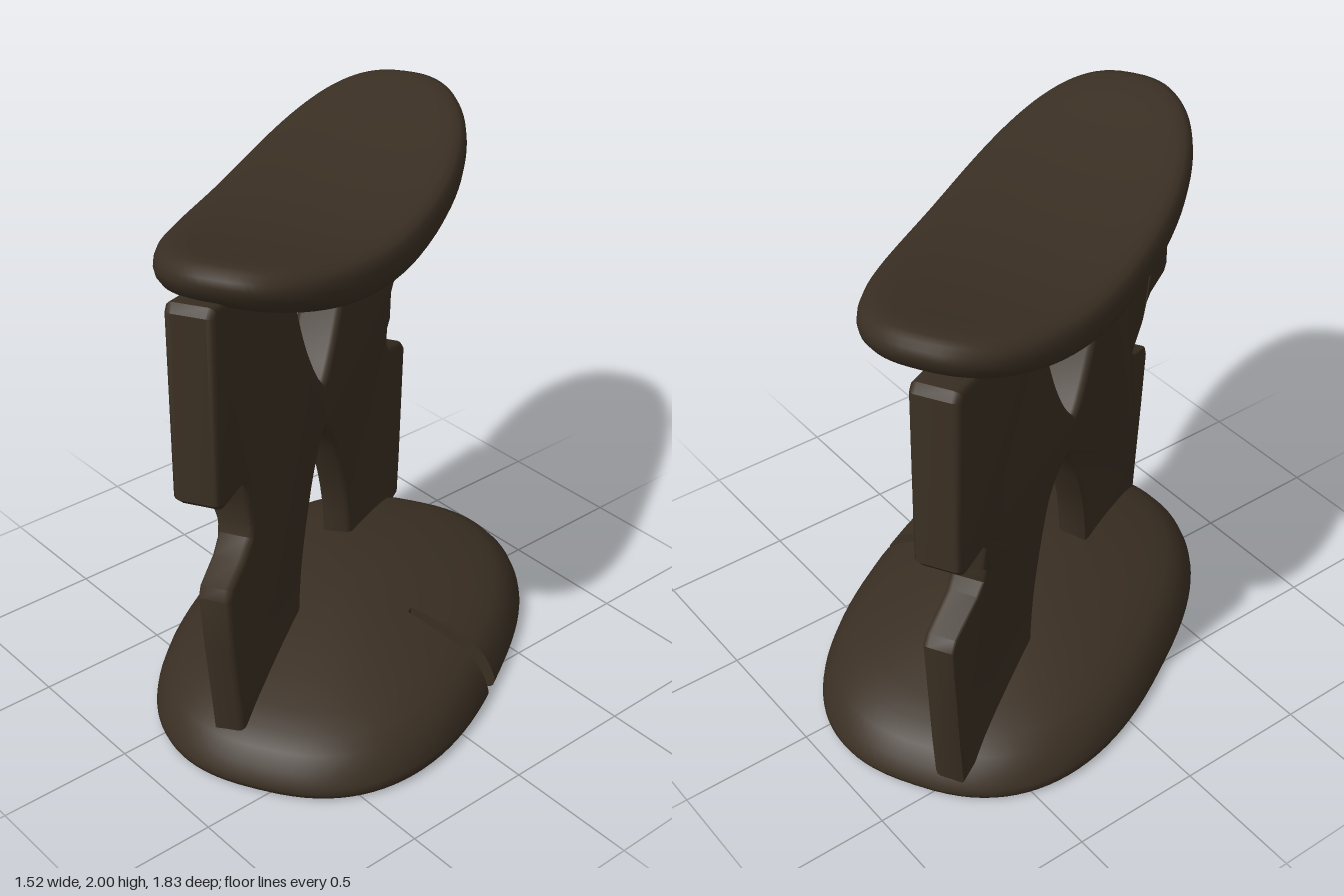
import * as THREE from 'three';
import { toCreasedNormals } from 'three/addons/utils/BufferGeometryUtils.js';

const darkWood = new THREE.MeshStandardMaterial({ color: 0x3a2f23 });
darkWood.name = 'darkWood';

// Point on a rounded oval with half axes a and b
function oval(a, b, t) {
  const f = (k) => Math.sign(k) * Math.abs(k) ** 0.8;
  return [a * f(Math.cos(t)), b * f(Math.sin(t))];
}

// Closed skin: columns run around the oval, the profile [r, y] runs top to bottom
function loft(columns, profile, place) {
  const pos = [], index = [], n = columns.length;
  for (const [r, y] of profile) for (const c of columns) pos.push(...place(c, r, y));
  for (let i = 0; i < profile.length - 1; i++) {
    for (let j = 0; j < n; j++) {
      const k = (j + 1) % n, p = i * n, q = p + n;
      index.push(p + j, p + k, q + j, p + k, q + k, q + j);
    }
  }
  const geo = new THREE.BufferGeometry();
  geo.setAttribute('position', new THREE.Float32BufferAttribute(pos, 3));
  geo.setIndex(index);
  return toCreasedNormals(geo, 0.7);
}

function ring(count) {
  return Array.from({ length: count }, (_, i) => ({ t: -Math.PI / 2 + (i / count) * Math.PI * 2, cut: false }));
}

// Domed foot with a crack cut through one long side
function baseGeometry() {
  const t1 = -Math.PI / 2 + 0.042, t2 = -Math.PI / 2 + 0.103;
  const columns = ring(96).filter(({ t }) => t < t1 - 0.005 || t > t2 + 0.005);
  columns.push({ t: t1, cut: false }, { t: t1 + 0.004, cut: true }, { t: t2 - 0.004, cut: true }, { t: t2, cut: false });
  columns.sort((p, q) => p.t - q.t);
  const profile = [[0, 0.342], [0.15, 0.336], [0.3, 0.318], [0.46, 0.288], [0.6, 0.257], [0.75, 0.219], [0.85, 0.185],
    [0.92, 0.147], [0.97, 0.095], [0.995, 0.05], [1, 0.03], [0.99, 0.01], [0.97, 0], [0.46, 0], [0, 0]];
  return loft(columns, profile, ({ t, cut }, r, y) => {
    const [x, z] = oval(0.92, 0.625, t);
    const k = cut ? Math.min(r, 0.46) : r;
    return [0.06 * (1 - k) + x * k, y, z * k];
  });
}

// Saddle-shaped seat, rising toward both ends
function seatGeometry() {
  const profile = [[0, -0.008], [0.2, -0.008], [0.4, -0.005], [0.6, -0.002], [0.78, 0], [0.88, -0.002], [0.94, -0.011],
    [0.975, -0.028], [0.994, -0.053], [1, -0.08], [0.99, -0.108], [0.96, -0.135], [0.91, -0.155], [0.83, -0.167],
    [0.6, -0.17], [0.4, -0.17], [0.2, -0.17], [0, -0.17]];
  return loft(ring(96), profile, ({ t }, r, y) => {
    const [x, z] = oval(0.945, 0.4, t);
    return [x * r, 1.87 + y + 0.183 * (x * r) ** 2, z * r];
  });
}

// Pointed opening, mirrored about the middle; [half width, y] from mouth to tip
function opening(side) {
  const curve = new THREE.SplineCurve(side.map(([x, y]) => new THREE.Vector2(x, y))).getPoints(14);
  const mirror = curve.slice(0, -1).reverse().map((p) => new THREE.Vector2(-p.x, p.y));
  return new THREE.Path([...curve, ...mirror]);
}

// Upright slab with notched ends and two openings
function slabGeometry() {
  const rightEnd = [[0.835, 0.12], [0.86, 0.3], [0.9, 0.55], [0.93, 0.78], [0.91, 0.82], [0.79, 0.865], [0.72, 0.91],
    [0.71, 0.95], [0.735, 1.08], [0.755, 1.14], [0.79, 1.155], [0.945, 1.16], [0.978, 1.19], [0.976, 1.86], [0.955, 1.89]];
  const top = [[0.8, 1.86], [0.4, 1.78], [0, 1.76], [-0.4, 1.78], [-0.8, 1.86]];
  const leftEnd = [[-0.955, 1.88], [-0.978, 1.85], [-0.99, 1.2], [-0.96, 1.165], [-0.8, 1.155], [-0.775, 1.13],
    [-0.765, 1.02], [-0.73, 0.99], [-0.725, 0.93], [-0.76, 0.89], [-0.925, 0.835], [-0.955, 0.8], [-0.935, 0.55],
    [-0.915, 0.3], [-0.895, 0.12]];
  const shape = new THREE.Shape([...rightEnd, ...top, ...leftEnd].map(([x, y]) => new THREE.Vector2(x, y)));
  shape.holes.push(
    opening([[0.32, 1.73], [0.262, 1.56], [0.193, 1.4], [0.117, 1.27], [0.05, 1.18], [0, 1.13]]),
    opening([[0.28, 0.28], [0.257, 0.45], [0.207, 0.61], [0.125, 0.79], [0.045, 0.9], [0, 0.94]]),
  );
  const bevel = 0.025;
  const geo = new THREE.ExtrudeGeometry(shape, {
    depth: 0.17 - 2 * bevel, bevelThickness: bevel, bevelSize: bevel, bevelOffset: -bevel, bevelSegments: 3,
  });
  geo.translate(0, 0, bevel - 0.085);
  // One face steps inward below the notches, making the legs thinner
  const p = geo.attributes.position;
  for (let i = 0; i < p.count; i++) {
    const z = p.getZ(i);
    if (z > 0) p.setZ(i, z * (0.4 + 0.6 * THREE.MathUtils.smoothstep(p.getY(i), 0.8, 1.15)));
  }
  return toCreasedNormals(geo, 0.6);
}

export function createModel() {
  const model = new THREE.Group();
  model.name = 'stool';
  const body = new THREE.Group();
  body.name = 'stoolBody';
  // The long axis stands diagonally
  body.position.set(-0.1475, 0, 0.03);
  body.rotation.y = -Math.PI / 3;
  model.add(body);

  const add = (name, geometry, x, z) => {
    const mesh = new THREE.Mesh(geometry, darkWood);
    mesh.name = name;
    mesh.position.set(x, 0, z);
    body.add(mesh);
  };
  add('base', baseGeometry(), 0.028, -0.17);
  add('upright', slabGeometry(), 0, 0);
  add('seat', seatGeometry(), 0.003, -0.073);
  return model;
}
